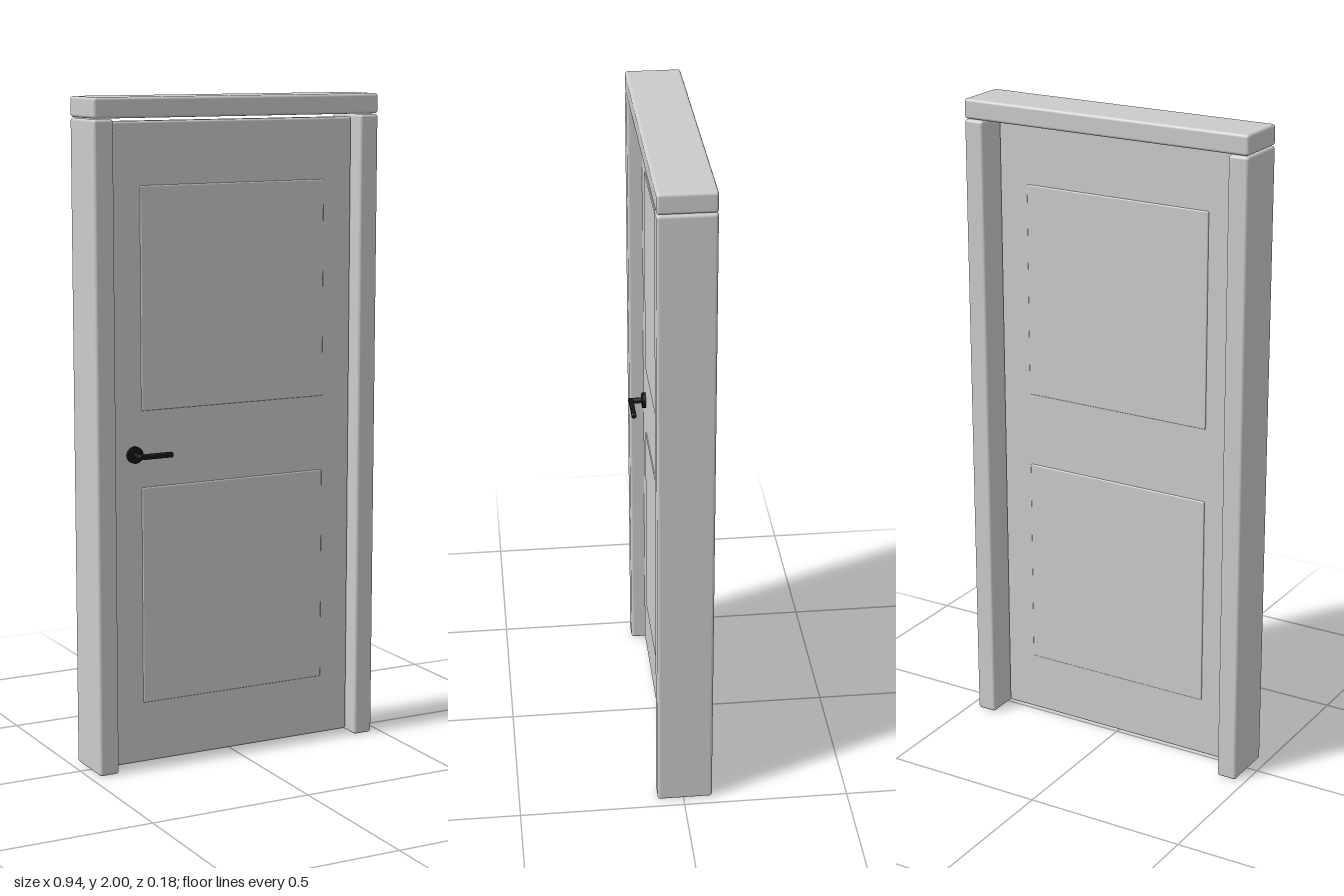
import * as THREE from 'three';
import { RoundedBoxGeometry } from 'three/addons/geometries/RoundedBoxGeometry.js';

const paint = new THREE.MeshStandardMaterial({ color: 0xcccccc });
const black = new THREE.MeshStandardMaterial({ color: 0x141414 });

// Softly rounded box given by its lower and upper corners
function slab(name, min, max, radius, material = paint) {
  const [w, h, d] = max.map((v, i) => v - min[i]);
  const mesh = new THREE.Mesh(new RoundedBoxGeometry(w, h, d, 3, radius), material);
  mesh.position.set(...max.map((v, i) => (v + min[i]) / 2));
  mesh.name = name;
  return mesh;
}

// Cylinder lying along z
function disc(name, radius, z0, z1) {
  const geometry = new THREE.CylinderGeometry(radius, radius, z1 - z0, 32).rotateX(Math.PI / 2);
  const mesh = new THREE.Mesh(geometry, black);
  mesh.position.z = (z0 + z1) / 2;
  mesh.name = name;
  return mesh;
}

export function createModel() {
  const door = new THREE.Group();
  door.name = 'door';

  // Frame: two jambs under a lintel
  const frame = new THREE.Group();
  frame.name = 'frame';
  const back = -0.088, front = 0.079;
  frame.add(slab('rightJamb', [-0.47, 0, back], [-0.407, 1.938, front], 0.009));
  frame.add(slab('leftJamb', [0.407, 0, back], [0.47, 1.938, front], 0.009));
  frame.add(slab('lintel', [-0.47, 1.94, back], [0.47, 2, front], 0.009));
  door.add(frame);

  // Leaf with two slightly raised panels showing on both faces
  const leaf = new THREE.Group();
  leaf.name = 'leaf';
  leaf.add(slab('leafBoard', [-0.402, 0.01, -0.005], [0.402, 1.93, 0.035], 0.007));
  for (const [name, y] of [['lowerPanel', 0.195], ['upperPanel', 1.085]]) {
    leaf.add(slab(name, [-0.306, y, -0.009], [0.306, y + 0.66, 0.038], 0.004));
  }
  door.add(leaf);

  // Lever handle on the front
  const handle = new THREE.Group();
  handle.name = 'handle';
  handle.position.set(-0.33, 0.956, 0);
  handle.add(disc('rosette', 0.025, 0.03, 0.046));
  handle.add(disc('neck', 0.009, 0.04, 0.08));
  handle.add(slab('lever', [-0.009, -0.008, 0.073], [0.104, 0.008, 0.088], 0.005, black));
  door.add(handle);

  return door;
}
